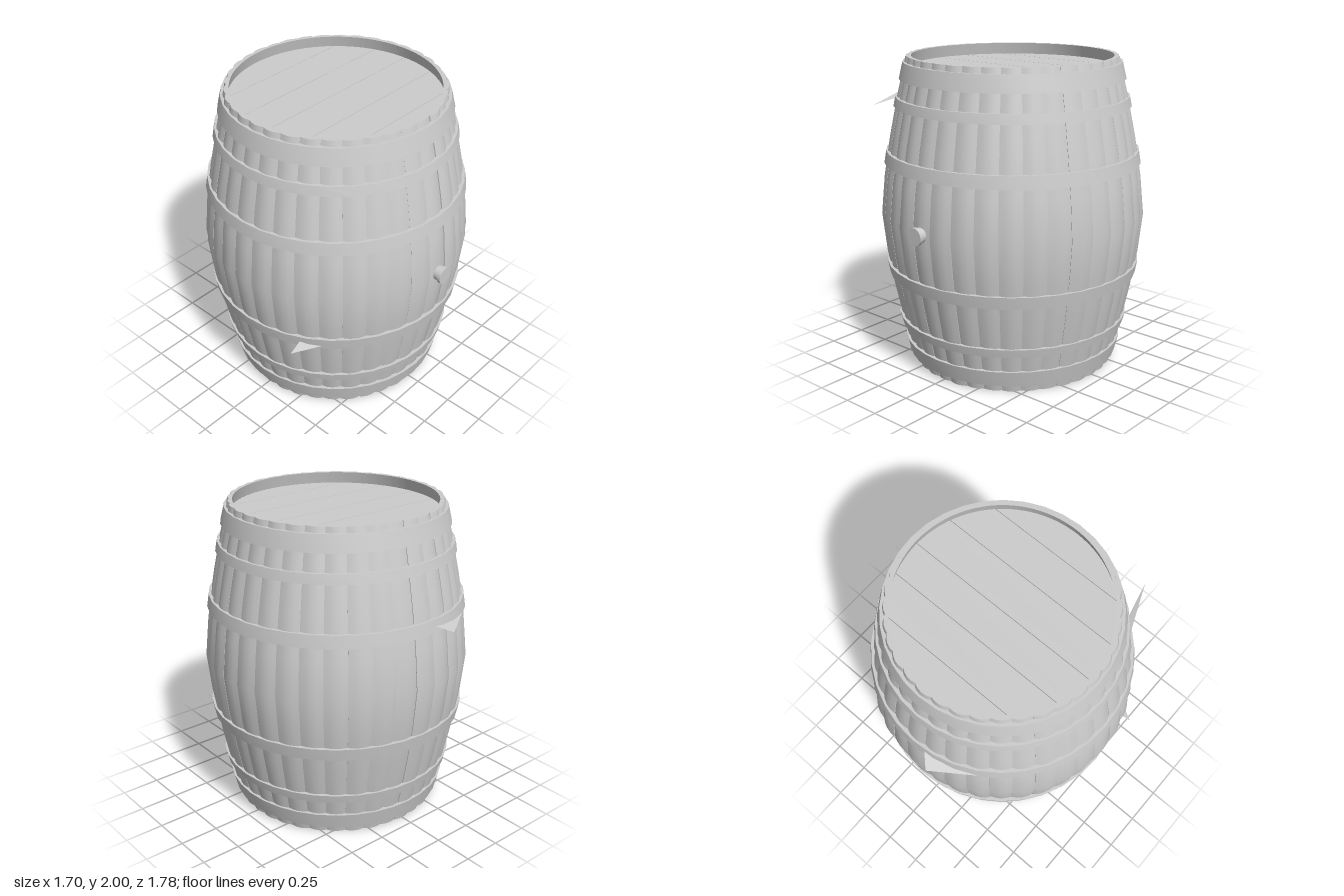
import * as THREE from 'three';
import { toCreasedNormals } from 'three/addons/utils/BufferGeometryUtils.js';

const STAVES = 36;
const THICK = 0.032;

// Outer radius of the barrel at height y, widest at the middle
const radiusAt = (y) => 0.85 - 0.18 * Math.pow(Math.abs(y - 1), 1.4);

export function createModel() {
  const barrel = new THREE.Group();
  barrel.name = 'barrel';
  const grey = new THREE.MeshStandardMaterial({ color: 0xcccccc });
  grey.name = 'plain grey';
  const greyThin = new THREE.MeshStandardMaterial({ color: 0xcccccc, side: THREE.DoubleSide });
  greyThin.name = 'plain grey thin';

  const add = (name, geometry, material = grey, parent = barrel) => {
    const mesh = new THREE.Mesh(geometry, material);
    mesh.name = name;
    parent.add(mesh);
    return mesh;
  };

  // Small repeatable variation for the staves
  let seed = 7;
  const random = () => (seed = (seed * 16807) % 2147483647) / 2147483647;

  // Staves: boxes bent to the barrel curve, rounded across their width
  const staves = new THREE.Group();
  staves.name = 'staves';
  barrel.add(staves);
  const step = (Math.PI * 2) / STAVES;
  for (let i = 0; i < STAVES; i++) {
    const g = new THREE.BoxGeometry(1, 2, 1, 4, 8, 1);
    const p = g.attributes.position;
    const lift = (random() - 0.5) * 0.008;
    for (let k = 0; k < p.count; k++) {
      const across = p.getX(k) * 2;
      const y = p.getY(k) + 1;
      const outer = p.getZ(k) > 0;
      const r = radiusAt(y) + (outer ? lift - 0.012 * across * across : -THICK);
      const a = i * step + (across * step) / 2;
      p.setXYZ(k, Math.sin(a) * r, y, Math.cos(a) * r);
    }
    g.computeVertexNormals();
    add('stave', g, grey, staves);
  }

  // Hoops: closed bands following the slope of the staves
  const hoops = [[0.045, 0.15], [0.26, 0.315], [0.6, 0.68], [1.33, 1.41], [1.69, 1.75], [1.86, 1.965]];
  for (const [low, high] of hoops) {
    const at = (y, offset) => new THREE.Vector2(radiusAt(y) + offset, y);
    const profile = [at(low, 0.014), at(high, 0.014), at(high, -0.015), at(low, -0.015), at(low, 0.014)];
    add('hoop', toCreasedNormals(new THREE.LatheGeometry(profile, STAVES), 0.6));
  }

  // Lid and base: planks clipped to a circle, with narrow gaps over a backing disc
  const seams = [-0.66, -0.45, -0.22, 0, 0.24, 0.47, 0.66];
  const R = 0.66;
  const head = (name, y, outside) => {
    const group = new THREE.Group();
    group.name = name;
    barrel.add(group);
    for (let i = 0; i < seams.length - 1; i++) {
      const z0 = seams[i] + 0.002;
      const z1 = seams[i + 1] - 0.002;
      const shape = new THREE.Shape();
      const steps = 8;
      for (let side = 1; side >= -1; side -= 2) {
        for (let k = 0; k <= steps; k++) {
          const t = side > 0 ? k / steps : 1 - k / steps;
          const z = z0 + (z1 - z0) * t;
          const x = side * Math.sqrt(Math.max(R * R - z * z, 1e-6));
          if (side > 0 && k === 0) shape.moveTo(x, -z);
          else shape.lineTo(x, -z);
        }
      }
      const g = new THREE.ExtrudeGeometry(shape, { depth: 0.03, bevelEnabled: false });
      g.rotateX(-Math.PI / 2);
      add('headPlank', g, grey, group).position.y = y - 0.015;
    }
    const disc = new THREE.CylinderGeometry(R, R, 0.02, STAVES);
    add('headBacking', disc, grey, group).position.y = y - outside * 0.015;
  };
  head('lid', 1.91, 1);
  head('base', 0.09, -1);

  // Bung on the front: stem with a slightly wider cap
  const bung = (name, r0, r1, length, z) => {
    const g = new THREE.CylinderGeometry(r0, r1, length, 20);
    g.rotateX(Math.PI / 2);
    add(name, g).position.set(0, 1.005, z);
  };
  bung('bungStem', 0.048, 0.048, 0.06, 0.85);
  bung('bungCap', 0.056, 0.056, 0.022, 0.882);

  // Loose slivers standing off the hoops
  const slivers = [
    [[-0.42, 1.34, -0.71], [-0.16, 1.335, -0.89], [-0.08, 1.37, -0.81]],
    [[-0.72, 0.64, 0.36], [-0.83, 0.615, 0.38], [-0.62, 0.62, 0.5]],
    [[-0.62, 1.75, 0.4], [-0.47, 1.72, 0.76], [-0.53, 1.73, 0.51]],
  ];
  for (const corners of slivers) {
    const g = new THREE.BufferGeometry();
    g.setAttribute('position', new THREE.Float32BufferAttribute(corners.flat(), 3));
    g.computeVertexNormals();
    add('hoopSliver', g, greyThin);
  }
  return barrel;
}
